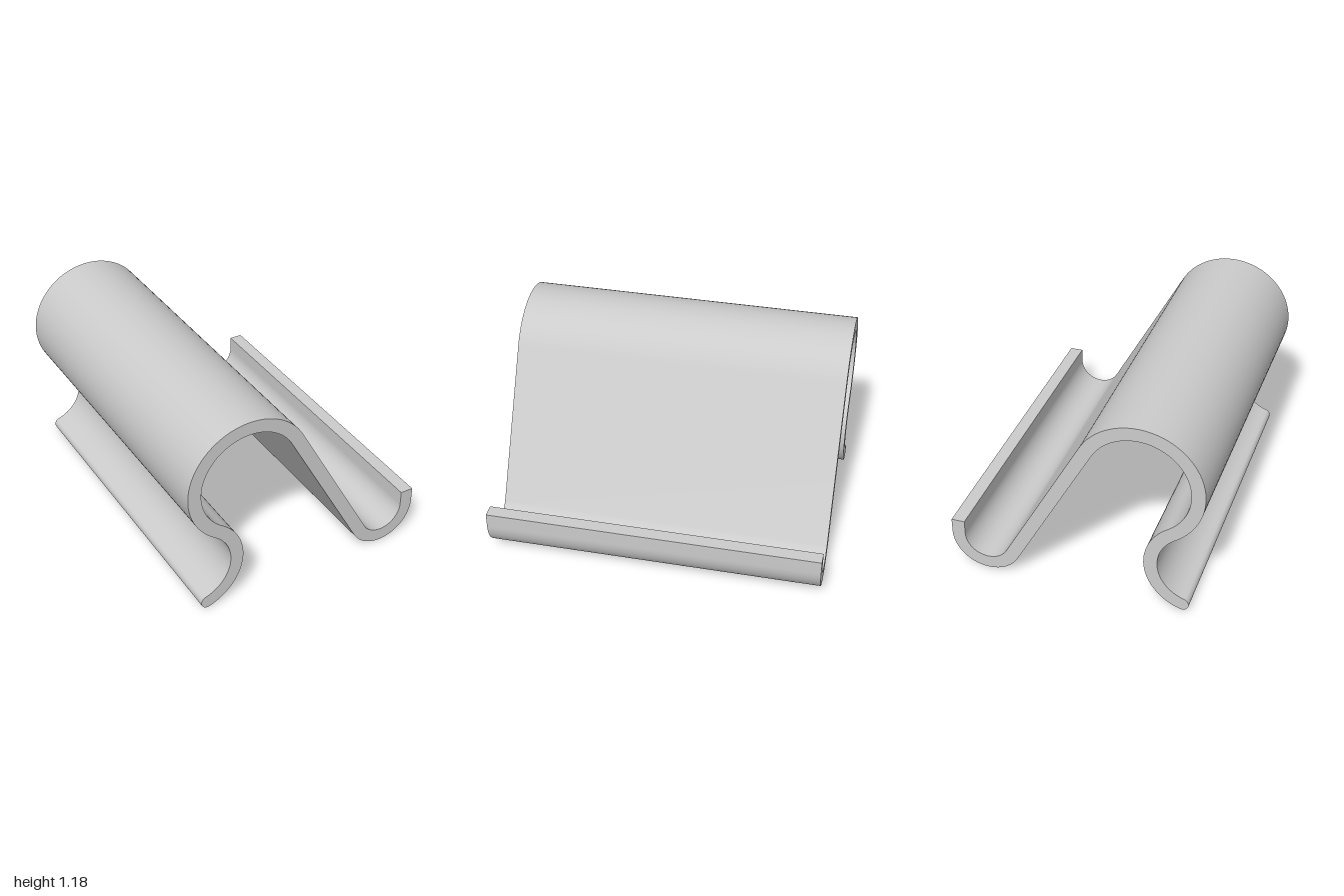
import * as THREE from 'three';
import { toCreasedNormals } from 'three/addons/utils/BufferGeometryUtils.js';

export function createModel() {
  const group = new THREE.Group();
  group.name = 'bentStand';

  const half = 0.04; // half the sheet thickness
  const width = 2;

  // Centre line: foot curl, large top loop, sloping rest, front hook
  const loop = { x: -0.375, y: 0.8, r: 0.34 };
  const hook = { x: 0.54, y: 0.215, r: 0.175 };
  const foot = { x: -0.719, y: 0.297 };
  const hookTop = 0.3;

  // The foot curl touches the loop tangentially
  const dx = loop.x - foot.x, dy = loop.y - foot.y;
  foot.r = Math.hypot(dx, dy) - loop.r;
  const join = Math.atan2(dy, dx);
  const footEnd = -Math.asin((foot.y - half) / foot.r);

  // The straight rest is the inner tangent between loop and hook
  const hx = hook.x - loop.x, hy = hook.y - loop.y;
  const slope = Math.atan2(hy, hx) + Math.acos((loop.r + hook.r) / Math.hypot(hx, hy));

  const points = [];
  const add = (x, y) => {
    const p = new THREE.Vector2(x, y);
    const last = points[points.length - 1];
    if (!last || last.distanceTo(p) > 1e-5) points.push(p);
  };
  const arc = (c, r, from, to) => {
    const n = Math.ceil(Math.abs(to - from) / (Math.PI / 40));
    for (let i = 0; i <= n; i++) {
      const a = from + (to - from) * i / n;
      add(c.x + r * Math.cos(a), c.y + r * Math.sin(a));
    }
  };

  // Along one face of the sheet
  arc(foot, foot.r + half, footEnd, join);
  arc(loop, loop.r - half, join + Math.PI, slope);
  arc(hook, hook.r + half, slope + Math.PI, 2 * Math.PI);
  // Square lip of the hook
  add(hook.x + hook.r + half, hookTop);
  add(hook.x + hook.r - half, hookTop);
  // Back along the other face
  arc(hook, hook.r - half, 2 * Math.PI, slope + Math.PI);
  arc(loop, loop.r + half, slope, join + Math.PI);
  arc(foot, foot.r - half, join, footEnd);
  // Rounded tip of the foot
  const tip = {
    x: foot.x + foot.r * Math.cos(footEnd),
    y: foot.y + foot.r * Math.sin(footEnd),
  };
  arc(tip, half, footEnd + Math.PI, footEnd + 2 * Math.PI);
  if (points[0].distanceTo(points[points.length - 1]) < 1e-5) points.pop();

  const extruded = new THREE.ExtrudeGeometry(new THREE.Shape(points), {
    depth: width, bevelEnabled: false,
  });
  extruded.translate(0, 0, -width / 2);

  const sheet = new THREE.Mesh(
    toCreasedNormals(extruded, 0.5),
    new THREE.MeshStandardMaterial({ color: 0xcccccc })
  );
  sheet.name = 'bentSheet';
  group.add(sheet);
  return group;
}
